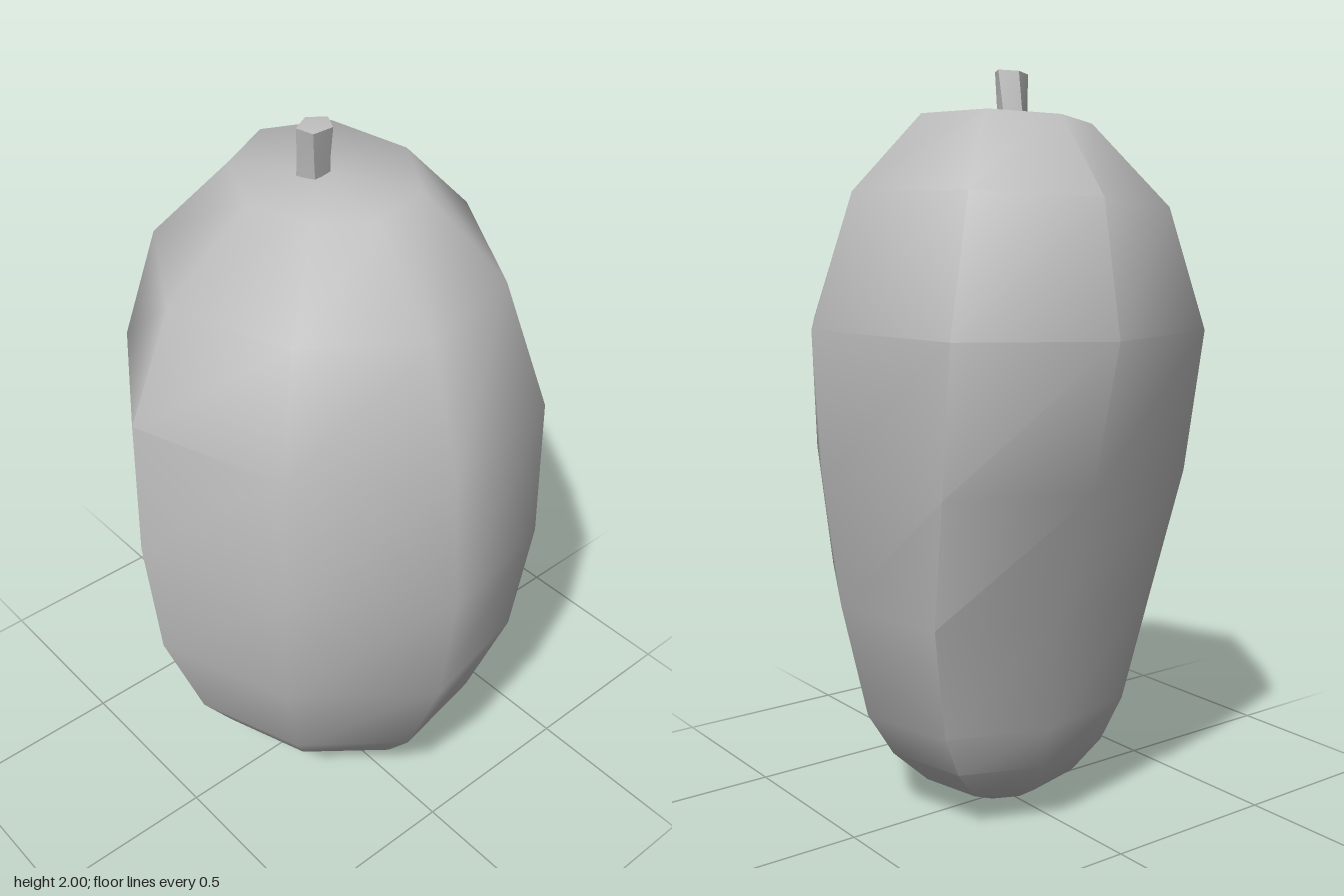
import * as THREE from 'three';
import { toCreasedNormals } from 'three/addons/utils/BufferGeometryUtils.js';

// Joins rings of points (listed bottom to top) into a closed skin
function skin(rings, bottom, top) {
  const pos = [];
  const tri = (...pts) => pts.forEach((p) => pos.push(...p));
  const n = rings[0].length;
  for (let j = 0; j < n; j++) {
    const k = (j + 1) % n;
    tri(bottom, rings[0][j], rings[0][k]);
    for (let i = 0; i < rings.length - 1; i++) {
      const lo = rings[i], up = rings[i + 1];
      tri(lo[j], up[j], lo[k]);
      tri(lo[k], up[j], up[k]);
    }
    const last = rings[rings.length - 1];
    tri(top, last[k], last[j]);
  }
  const geo = new THREE.BufferGeometry();
  geo.setAttribute('position', new THREE.Float32BufferAttribute(pos, 3));
  return geo;
}

export function createModel() {
  const group = new THREE.Group();
  group.name = 'fruit';
  const grey = new THREE.MeshStandardMaterial({ color: 0xbcbcbc });
  grey.name = 'plain grey';

  // Uneven eight-sided cross-section, scaled separately on each side
  const section = [
    [1, 0.14], [0.55, 0.73], [-0.17, 0.98], [-0.77, 0.55],
    [-1, -0.21], [-0.68, -0.85], [0.15, -1], [0.88, -0.55],
  ];
  // height, reach to +x, -x, +z, -z, tilt along z
  const levels = [
    [0.025, 0.11, 0.10, 0.10, 0.11, 0],
    [0.085, 0.24, 0.20, 0.22, 0.24, 0],
    [0.18, 0.35, 0.27, 0.33, 0.34, 0],
    [0.30, 0.44, 0.31, 0.42, 0.41, 0],
    [0.61, 0.56, 0.365, 0.535, 0.475, 0],
    [0.96, 0.60, 0.50, 0.56, 0.52, 0],
    [1.34, 0.57, 0.60, 0.54, 0.545, 0.01],
    [1.66, 0.45, 0.51, 0.42, 0.43, 0.07],
    [1.865, 0.23, 0.30, 0.195, 0.24, 0.09],
  ];
  const rings = levels.map(([y, right, left, front, back, tilt]) =>
    section.map(([sx, sz]) => {
      const x = sx * (sx > 0 ? right : left);
      const z = sz * (sz > 0 ? front : back);
      return [x, y - tilt * z - tilt * 0.2 * x, z];
    }));
  const body = new THREE.Mesh(
    toCreasedNormals(skin(rings, [0, 0, 0], [-0.03, 1.87, -0.02]), THREE.MathUtils.degToRad(52)), grey);
  body.name = 'fruitBody';
  group.add(body);

  // Short leaning stalk
  const stalkLevels = [[1.83, -0.052, -0.01, 0.045], [1.91, -0.042, -0.006, 0.042], [2, -0.028, 0, 0.046]];
  const stalkRings = stalkLevels.map(([y, cx, cz, r], i) =>
    Array.from({ length: 5 }, (_, j) => {
      const a = (j / 5) * Math.PI * 2 + 0.5 + i * 0.15;
      return [cx + r * Math.cos(a), y - (i === 2 ? 0.005 * (1 + Math.sin(a)) : 0), cz + r * Math.sin(a)];
    }));
  const stalk = new THREE.Mesh(
    toCreasedNormals(skin(stalkRings, [-0.052, 1.83, -0.01], [-0.028, 2, 0]), 0.6), grey);
  stalk.name = 'stalk';
  group.add(stalk);
  return group;
}
